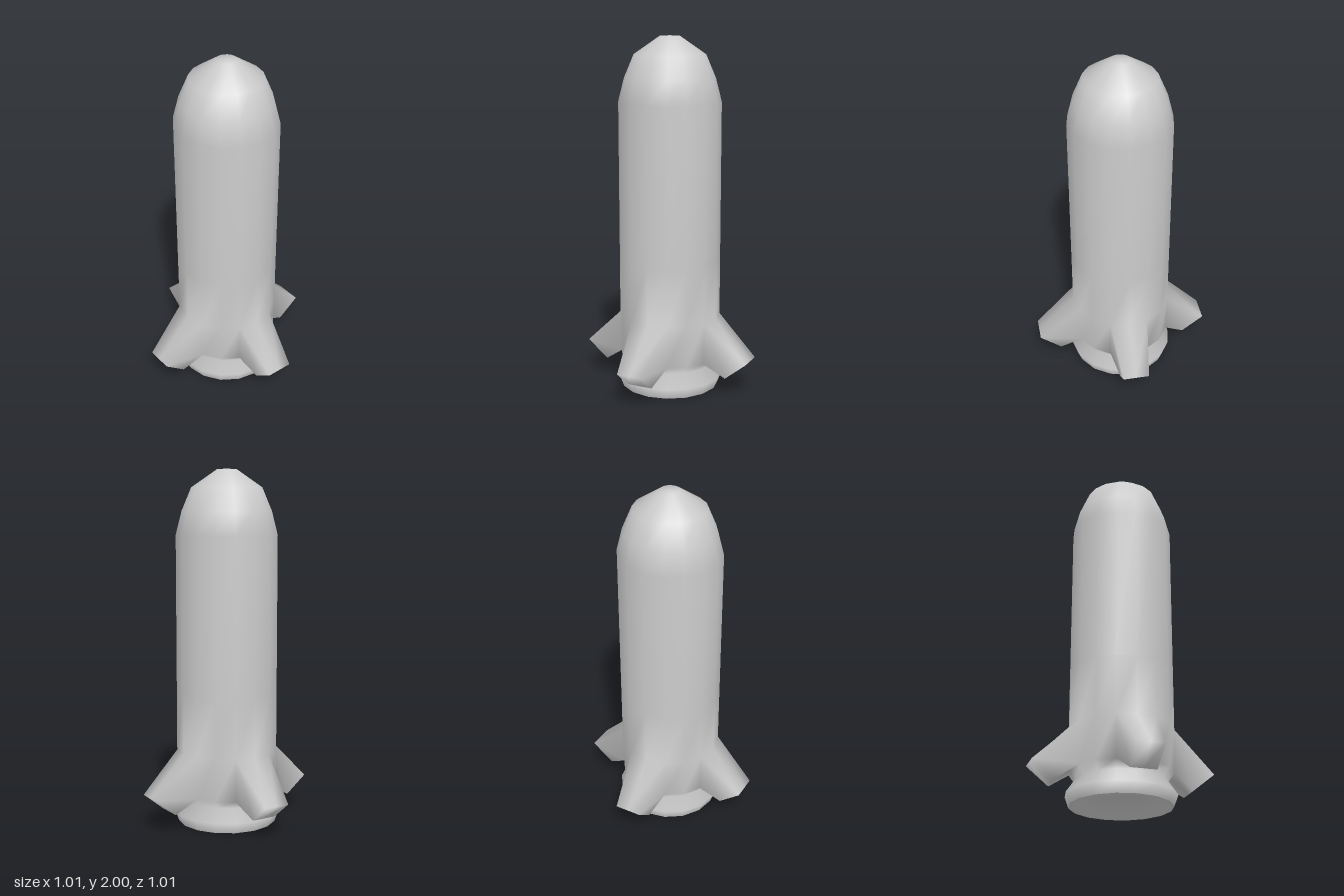
import * as THREE from 'three';

const SIDES = 16;
const FIN_ROW = 3; // profile row where the fin roots begin

// Hull profile [radius, height] from the base ring up to the nose
const HULL = [
  [0.28, 0], [0.302, 0.06], [0.25, 0.135], [0.284, 0.18], [0.288, 0.42], [0.288, 0.75],
  [0.288, 1.64], [0.255, 1.77], [0.2, 1.9], [0.055, 2], [0, 2],
];

// Fin tip outline: [sideways, outward, height], counter-clockwise from outside
const FIN_TIP = [
  [-0.072, 0.38, 0.1], [0, 0.38, 0.1], [0.072, 0.38, 0.1],
  [0.075, 0.503, 0.2], [0, 0.503, 0.2], [-0.075, 0.503, 0.2],
];

// Round hull with four fins drawn out of its lower band as one smooth skin
function hullGeometry() {
  const positions = [];
  const index = [];
  const quad = (a, b, c, d) => index.push(a, b, c, a, c, d);
  const vertex = (row, col) =>
    row * SIDES + (row === HULL.length - 1 ? 0 : (col + SIDES) % SIDES);

  for (const [r, y] of HULL) {
    for (let j = 0; j < SIDES; j++) {
      const a = (j / SIDES) * Math.PI * 2;
      positions.push(r * Math.sin(a), y, r * Math.cos(a));
    }
  }

  // Skin, left open where the fins join
  for (let i = 0; i < HULL.length - 1; i++) {
    for (let j = 0; j < SIDES; j++) {
      if (i === FIN_ROW && (j % 4 === 0 || j % 4 === 3)) continue;
      if (i === HULL.length - 2) index.push(vertex(i, j), vertex(i, j + 1), vertex(i + 1, 0));
      else quad(vertex(i, j), vertex(i, j + 1), vertex(i + 1, j + 1), vertex(i + 1, j));
    }
  }

  // Fins: walls from root loop to tip loop, then the end cap
  for (let f = 0; f < 4; f++) {
    const a = (f * Math.PI) / 2;
    const s = Math.sin(a);
    const c = Math.cos(a);
    const first = positions.length / 3;
    for (const [w, d, y] of FIN_TIP) positions.push(w * c + d * s, y, d * c - w * s);
    const m = f * 4;
    const root = [
      ...[-1, 0, 1].map((k) => vertex(FIN_ROW, m + k)),
      ...[1, 0, -1].map((k) => vertex(FIN_ROW + 1, m + k)),
    ];
    for (let k = 0; k < 6; k++) {
      const n = (k + 1) % 6;
      quad(root[k], root[n], first + n, first + k);
    }
    quad(first, first + 1, first + 4, first + 5);
    quad(first + 1, first + 2, first + 3, first + 4);
  }

  const geometry = new THREE.BufferGeometry();
  geometry.setAttribute('position', new THREE.Float32BufferAttribute(positions, 3));
  geometry.setIndex(index);
  geometry.computeVertexNormals();
  return geometry;
}

export function createModel() {
  const group = new THREE.Group();
  group.name = 'rocket';
  const material = new THREE.MeshStandardMaterial({ color: 0xcccccc });

  const hull = new THREE.Mesh(hullGeometry(), material);
  hull.name = 'hullWithFins';
  group.add(hull);

  // Shallow bowl under the base
  const bowl = [[0, 0.07], [0.13, 0.065], [0.21, 0.045], [0.25, 0], [0.28, 0]];
  const recess = new THREE.Mesh(
    new THREE.LatheGeometry(bowl.map(([r, y]) => new THREE.Vector2(r, y)), SIDES),
    material,
  );
  recess.name = 'engineRecess';
  group.add(recess);

  return group;
}
